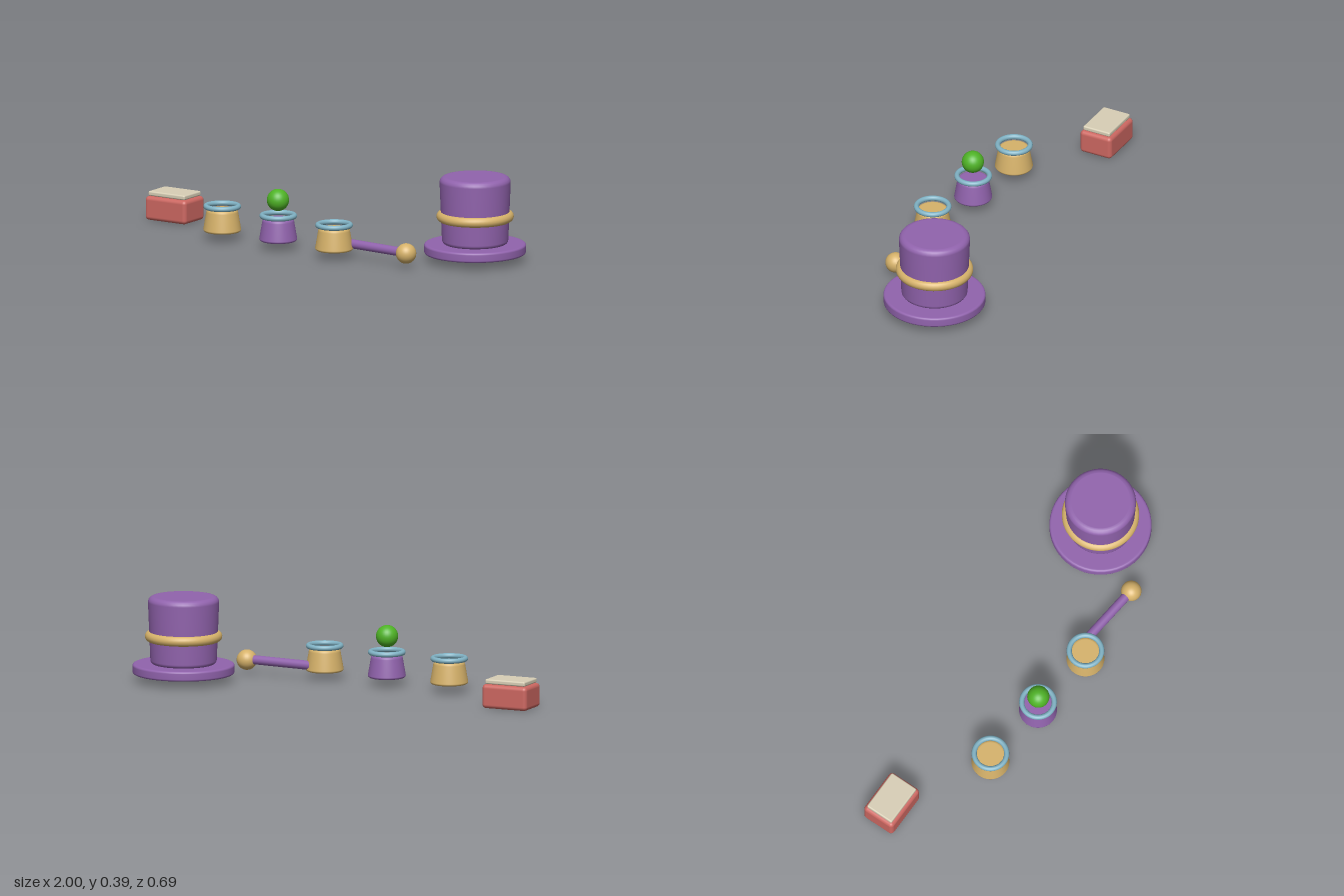
import * as THREE from 'three';
import { RoundedBoxGeometry } from 'three/addons/geometries/RoundedBoxGeometry.js';

const paint = (color) => new THREE.MeshStandardMaterial({ color });

// Solid of revolution from y = 0 to h with rounded rims; rb and rt are the bottom and top radii
function roundedDrum(rb, rt, h, bevelBottom, bevelTop, steps = 4) {
  const p = [new THREE.Vector2(0, 0), new THREE.Vector2((rb - bevelBottom) * 0.98, 0)];
  for (let i = 0; i <= steps; i++) {
    const a = (i / steps) * Math.PI / 2;
    p.push(new THREE.Vector2(rb - bevelBottom * (1 - Math.sin(a)), bevelBottom * (1 - Math.cos(a))));
  }
  for (let i = 0; i <= steps; i++) {
    const a = (i / steps) * Math.PI / 2;
    p.push(new THREE.Vector2(rt - bevelTop * (1 - Math.cos(a)), h - bevelTop * (1 - Math.sin(a))));
  }
  p.push(new THREE.Vector2((rt - bevelTop) * 0.98, h), new THREE.Vector2(0, h));
  return new THREE.LatheGeometry(p, 48);
}

export function createModel() {
  const model = new THREE.Group();
  const purple = paint(0x9163ad), gold = paint(0xd6b26a), blue = paint(0x80b2c4);
  const red = paint(0xcc6761), cream = paint(0xd8cfb6), green = paint(0x4fb326);

  const add = (parent, name, geometry, material, x = 0, y = 0, z = 0) => {
    const mesh = new THREE.Mesh(geometry, material);
    mesh.name = name;
    mesh.position.set(x, y, z);
    parent.add(mesh);
    return mesh;
  };
  const group = (name, x, z) => {
    const g = new THREE.Group();
    g.name = name;
    g.position.set(x, 0, z);
    model.add(g);
    return g;
  };
  const ring = (radius, tube) => new THREE.TorusGeometry(radius, tube, 16, 56).rotateX(Math.PI / 2);

  // Top hat: brim, flaring crown and band
  const hat = group('topHat', 0.766, -0.112);
  add(hat, 'brim', roundedDrum(0.234, 0.234, 0.046, 0.01, 0.01), purple, 0, 0.035);
  add(hat, 'crown', roundedDrum(0.152, 0.163, 0.313, 0.018, 0.026), purple, 0, 0.08);
  add(hat, 'band', ring(0.154, 0.0233), gold, 0, 0.208);

  // Three cups with rims
  [[-0.428, gold], [-0.096, purple], [0.235, gold]].forEach(([x, material], i) => {
    const cup = group('cup' + (i + 1), x, 0.258);
    add(cup, 'cupBody', roundedDrum(0.087, 0.073, 0.105, 0.011, 0.014), material, 0, 0.038);
    add(cup, 'cupRim', ring(0.0745, 0.012), blue, 0, 0.155);
  });

  // Ball hovering over the middle cup
  add(model, 'ball', new THREE.SphereGeometry(0.051, 32, 20), green, -0.096, 0.229, 0.26);

  // Wand with a round tip
  const wand = group('wand', 0, 0.204);
  const rod = new THREE.CylinderGeometry(0.021, 0.021, 0.34, 24).rotateZ(Math.PI / 2);
  add(wand, 'wandRod', rod, purple, 0.445, 0.067);
  add(wand, 'wandTip', new THREE.SphereGeometry(0.047, 32, 20), gold, 0.617, 0.064);

  // Small box with a lid
  const box = group('box', -0.88, 0.052);
  box.rotation.y = 0.1;
  add(box, 'boxBody', new RoundedBoxGeometry(0.225, 0.111, 0.163, 4, 0.018), red, 0, 0.0555);
  add(box, 'boxLid', new RoundedBoxGeometry(0.2, 0.022, 0.138, 3, 0.007), cream, 0, 0.123);

  return model;
}
